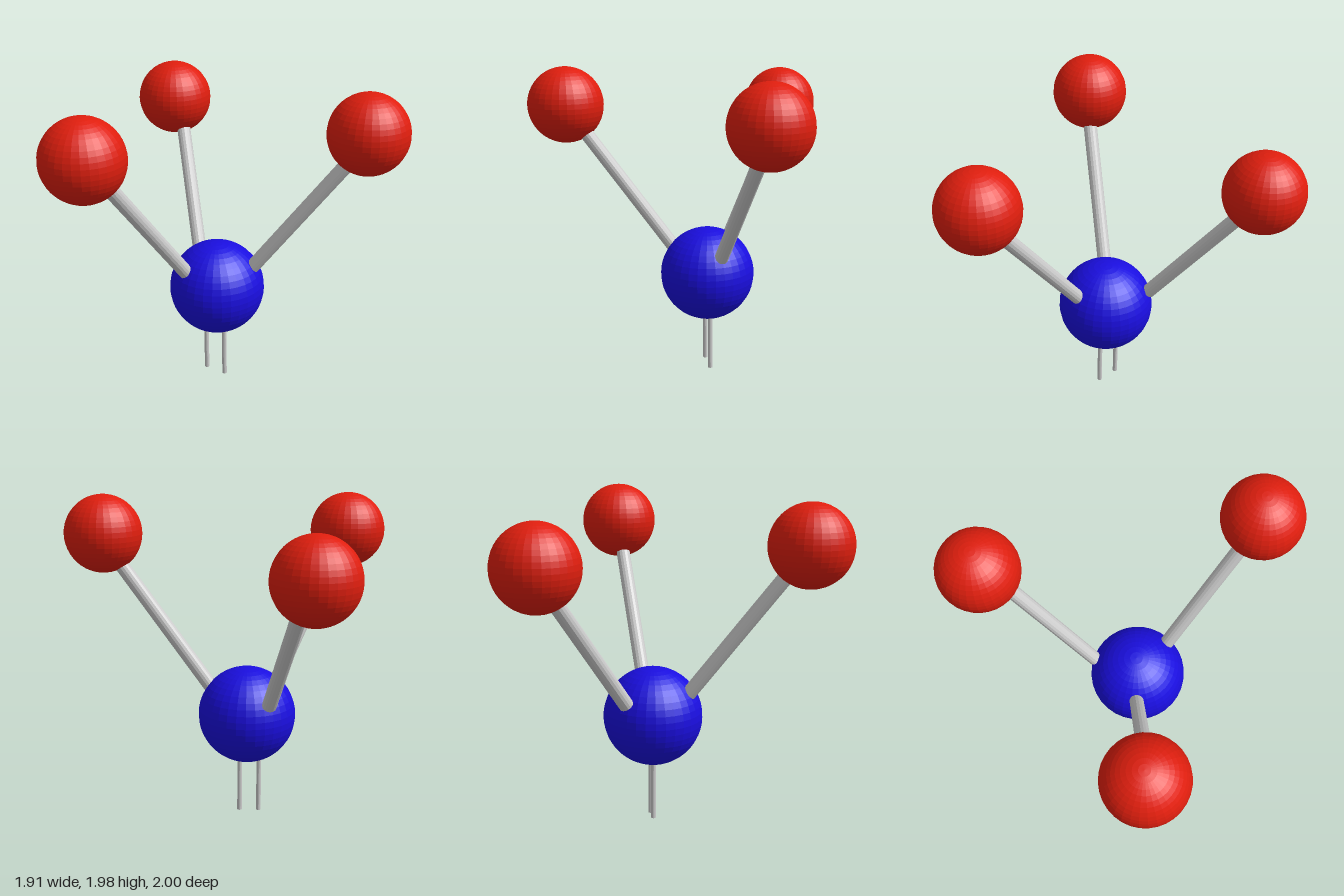
import * as THREE from 'three';

export function createModel() {
  const model = new THREE.Group();
  model.name = 'ballAndStickModel';

  const grey = new THREE.MeshStandardMaterial({ color: 0xcccccc, flatShading: true });
  const blue = new THREE.MeshStandardMaterial({ color: 0x1a0ee0, flatShading: true });
  const red = new THREE.MeshStandardMaterial({ color: 0xe01e0e, flatShading: true });

  function ball(name, radius, position, material) {
    const mesh = new THREE.Mesh(new THREE.SphereGeometry(radius, 32, 24), material);
    mesh.name = name;
    mesh.position.set(...position);
    model.add(mesh);
  }

  // Straight cylinder between two points, lengthened by `extra` at both ends
  function rod(name, radius, from, to, extra = 0) {
    const a = new THREE.Vector3(...from);
    const b = new THREE.Vector3(...to);
    const dir = b.clone().sub(a);
    const length = dir.length() + 2 * extra;
    const mesh = new THREE.Mesh(new THREE.CylinderGeometry(radius, radius, length, 16), grey);
    mesh.name = name;
    mesh.position.copy(a).add(b).multiplyScalar(0.5);
    mesh.quaternion.setFromUnitVectors(new THREE.Vector3(0, 1, 0), dir.normalize());
    model.add(mesh);
  }

  // Central ball
  ball('centreBall', 0.3, [-0.2, 0.65, -0.008], blue);

  // Three outer balls, each on a slanting rod sunk into both balls
  const arms = [
    { name: 'left', ball: [0.713, 1.742, -0.01], from: [0.037, 0.82, -0.01], to: [0.591, 1.54, -0.01] },
    { name: 'front', ball: [-0.696, 1.716, 0.758], from: [-0.345, 0.82, 0.178], to: [-0.596, 1.492, 0.622] },
    { name: 'back', ball: [-0.714, 1.65, -0.758], from: [-0.4, 0.837, -0.25], to: [-0.616, 1.44, -0.645] },
  ];
  for (const arm of arms) {
    ball(arm.name + 'Ball', 0.24, arm.ball, red);
    rod(arm.name + 'Rod', 0.044, arm.from, arm.to, 0.07);
  }

  // Two thin pins under the central ball
  rod('rightPin', 0.015, [-0.284, 0.02, -0.025], [-0.284, 0.5, -0.025]);
  rod('leftPin', 0.015, [-0.158, 0, -0.01], [-0.158, 0.5, -0.01]);

  return model;
}
